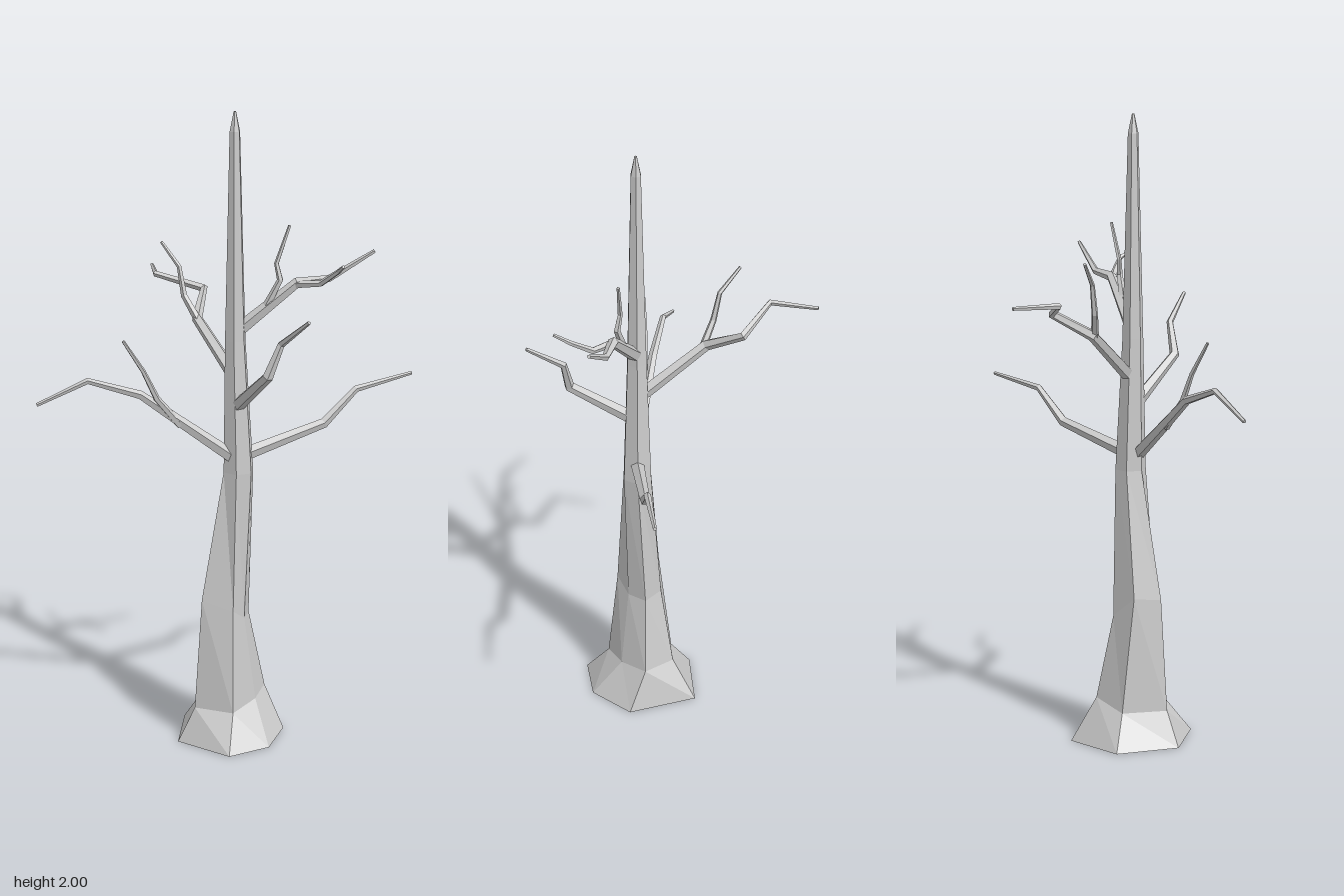
import * as THREE from 'three';

const material = new THREE.MeshStandardMaterial({ color: 0xcccccc, flatShading: true, side: THREE.DoubleSide });

// Skin a list of rings (each an array of Vector3) and close both ends.
function loft(rings) {
  const pos = [];
  const tri = (...corners) => corners.forEach(p => pos.push(p.x, p.y, p.z));
  const centre = ring => ring.reduce((sum, p) => sum.add(p), new THREE.Vector3()).divideScalar(ring.length);
  const n = rings[0].length;
  const first = rings[0], last = rings[rings.length - 1];
  const c0 = centre(first), c1 = centre(last);
  for (let k = 0; k < n; k++) {
    const j = (k + 1) % n;
    for (let i = 0; i + 1 < rings.length; i++) {
      const a = rings[i], b = rings[i + 1];
      tri(a[k], b[k], b[j]);
      tri(a[k], b[j], a[j]);
    }
    tri(c0, first[k], first[j]);
    tri(c1, last[j], last[k]);
  }
  const geometry = new THREE.BufferGeometry();
  geometry.setAttribute('position', new THREE.Float32BufferAttribute(pos, 3));
  geometry.computeVertexNormals();
  return geometry;
}

// Tapered five-sided limb along a bent path.
function limb(points, r0, r1, sides = 5) {
  const path = points.map(p => new THREE.Vector3(...p));
  const dir = i => path[i + 1].clone().sub(path[i]).normalize();
  const end = path.length - 1;
  let u = new THREE.Vector3(0, 1, 0);
  const rings = path.map((p, i) => {
    const t = dir(Math.min(i, end - 1));
    if (i > 0 && i < end) t.add(dir(i - 1)).normalize();
    u = u.clone().addScaledVector(t, -u.dot(t)).normalize();
    const v = u.clone().cross(t);
    const r = THREE.MathUtils.lerp(r0, r1, i / end);
    return Array.from({ length: sides }, (_, k) => {
      const a = k / sides * Math.PI * 2;
      return p.clone().addScaledVector(u, r * Math.cos(a)).addScaledVector(v, r * Math.sin(a));
    });
  });
  return loft(rings);
}

// Regular trunk ring, in the same corner order as the hand-shaped lower rings.
function hexRing(x, y, z, r) {
  return Array.from({ length: 6 }, (_, k) => {
    const a = (k * 60 - 110) * Math.PI / 180;
    return new THREE.Vector3(x + r * Math.cos(a), y, z + r * Math.sin(a));
  });
}

const ring = (y, corners) => corners.map(([x, z, dy = 0]) => new THREE.Vector3(x, y + dy, z));

export function createModel() {
  const tree = new THREE.Group();
  tree.name = 'bareTree';
  const add = (name, geometry) => {
    const mesh = new THREE.Mesh(geometry, material);
    mesh.name = name;
    tree.add(mesh);
  };

  // Trunk: flared root, leaning lower part, long slim spire
  add('trunk', loft([
    ring(0, [[-0.03, -0.125], [0.18, -0.03], [0.208, 0.13], [0.13, 0.252], [-0.07, 0.225], [-0.152, 0.035]]),
    ring(0.11, [[0, -0.046, 0.03], [0.11, -0.03, 0.03], [0.128, 0.07, 0.02], [0.1, 0.17], [-0.03, 0.185], [-0.075, 0.045]]),
    ring(0.44, [[0.005, 0.008, -0.03], [0.072, 0.01, -0.04], [0.09, 0.075, -0.04], [0.083, 0.137], [-0.015, 0.163, 0.03], [-0.05, 0.08, 0.04]]),
    hexRing(0.06, 0.88, 0.058, 0.05),
    hexRing(0.052, 1.3, 0.065, 0.034),
    hexRing(0.05, 1.94, 0.065, 0.017),
    hexRing(0.05, 2, 0.065, 0.004),
  ]));

  // Main branches
  const branches = {
    frontRightBranch: [[0.05, 0.93, 0.08], [-0.07, 1.04, 0.17], [-0.18, 1.14, 0.25], [-0.31, 1.19, 0.345], [-0.437, 1.12, 0.437]],
    backLeftBranch: [[0.08, 0.935, 0.035], [0.24, 1.0, -0.18], [0.31, 1.1, -0.27], [0.43, 1.13, -0.437]],
    frontLeftBranch: [[0.07, 1.1, 0.08], [0.225, 1.23, 0.185], [0.26, 1.33, 0.167], [0.37, 1.415, 0.205]],
    backRightBranch: [[0.035, 1.19, 0.05], [-0.14, 1.33, -0.04], [-0.18, 1.4, -0.16], [-0.335, 1.44, -0.12], [-0.42, 1.44, -0.245]],
    upperLeftBranch: [[0.07, 1.34, 0.055], [0.22, 1.48, -0.02], [0.3, 1.49, -0.08], [0.42, 1.575, -0.148]],
  };
  for (const [name, path] of Object.entries(branches)) add(name, limb(path, 0.022, 0.006));

  // Thin side twigs
  const twigs = {
    frontRightTwig: [[-0.08, 1.04, 0.18], [-0.13, 1.13, 0.235], [-0.16, 1.22, 0.265], [-0.2, 1.32, 0.315]],
    backRightTwig: [[-0.13, 1.32, -0.035], [-0.18, 1.4, -0.03], [-0.2, 1.49, -0.035], [-0.272, 1.56, -0.05]],
    upperLeftTwig: [[0.14, 1.41, 0.025], [0.178, 1.49, 0.01], [0.165, 1.54, 0.01], [0.195, 1.655, -0.018]],
    upperLeftOuterTwig: [[0.21, 1.475, -0.015], [0.3, 1.485, -0.02], [0.365, 1.53, -0.005], [0.4, 1.555, 0.035]],
  };
  for (const [name, path] of Object.entries(twigs)) add(name, limb(path, 0.013, 0.005));

  return tree;
}
